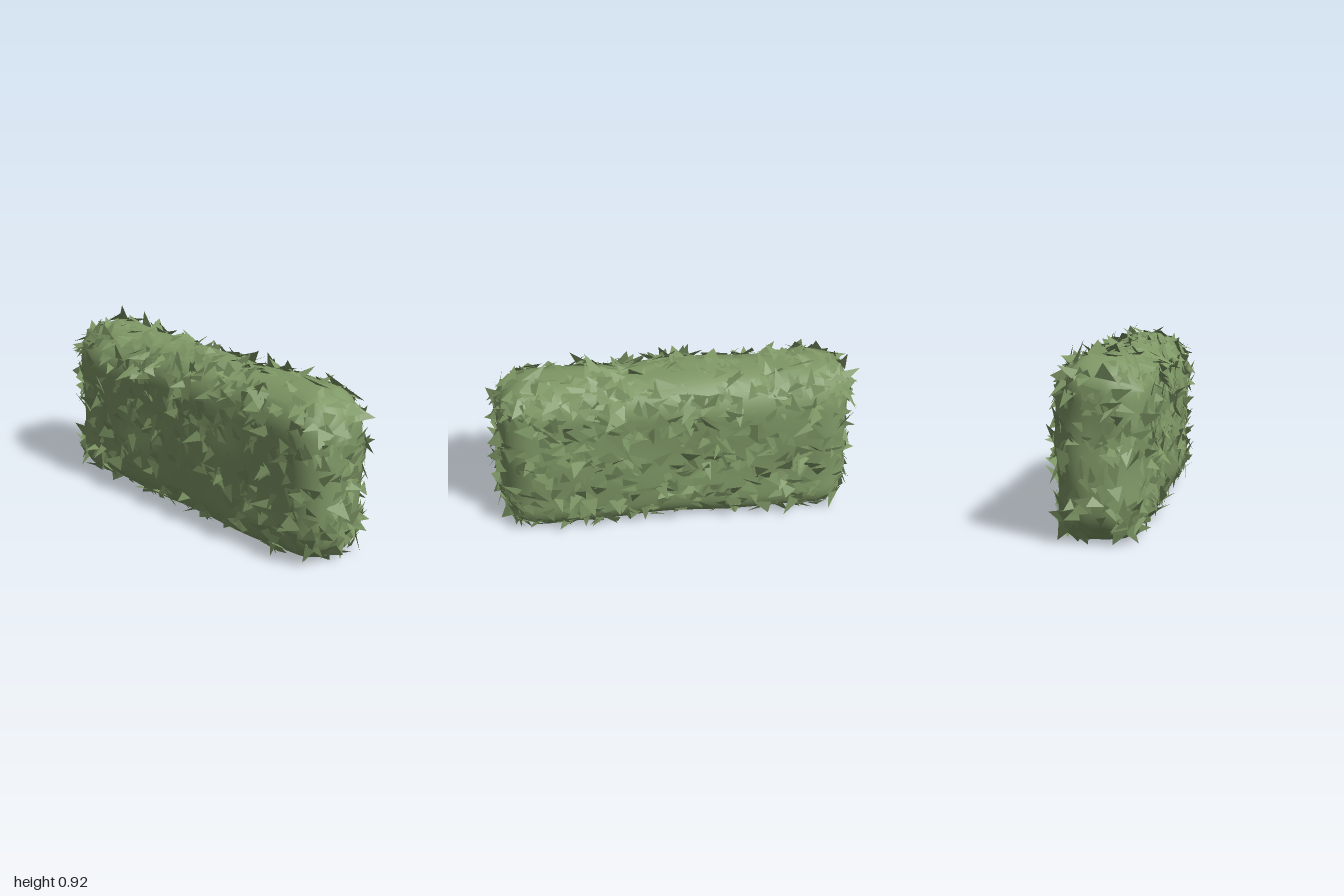
import * as THREE from 'three';
import { mergeVertices } from 'three/addons/utils/BufferGeometryUtils.js';

const HALF = new THREE.Vector3(0.905, 0.433, 0.213);
const CENTRE_Y = 0.413;
const RADIUS = 0.18;
const FLOOR = 0.018;

// Small seeded random generator
let seed = 7;
function random(min = 0, max = 1) {
  seed = (seed * 1664525 + 1013904223) % 4294967296;
  return min + (max - min) * (seed / 4294967296);
}

// Rounds a point of the plain box, adds gentle waves and trims it at the ground
function hedgeSurface(p) {
  const inner = HALF.clone().subScalar(RADIUS);
  const q = p.clone().clamp(inner.clone().negate(), inner);
  const normal = p.clone().sub(q).normalize();
  const wave = 0.005 * (Math.sin(p.x * 9 + p.y * 5) + Math.sin(p.y * 13 - p.x * 4 + p.z * 11));
  const point = q.addScaledVector(normal, RADIUS + wave);
  point.y = Math.max(point.y + CENTRE_Y, FLOOR + wave * 0.5);
  return { point, normal };
}

// Solid clipped body
function makeBody() {
  let geo = new THREE.BoxGeometry(HALF.x * 2, HALF.y * 2, HALF.z * 2, 46, 26, 18);
  const pos = geo.attributes.position;
  const p = new THREE.Vector3();
  for (let i = 0; i < pos.count; i++) {
    const { point } = hedgeSurface(p.fromBufferAttribute(pos, i));
    pos.setXYZ(i, point.x, point.y, point.z);
  }
  geo.deleteAttribute('uv');
  geo.deleteAttribute('normal');
  geo = mergeVertices(geo, 1e-4);
  geo.computeVertexNormals();
  return geo;
}

// Random point on the front, back, top or ends of the plain box
function randomBoxPoint() {
  const p = new THREE.Vector3(random(-1, 1), random(-1, 1), random(-1, 1)).multiply(HALF);
  const pick = random();
  const side = random() < 0.5 ? -1 : 1;
  if (pick < 0.66) p.z = side * HALF.z;
  else if (pick < 0.83) p.y = HALF.y;
  else p.x = side * HALF.x;
  return p;
}

// Scattered leaves: long blades rooted just under the surface, some of them folded
function makeLeaves(count) {
  const corners = [];
  const add = (...points) => points.forEach((v) => corners.push(v.x, Math.max(v.y, 0.002), v.z));
  for (let i = 0; i < count; i++) {
    const { point, normal } = hedgeSurface(randomBoxPoint());
    if (point.y < FLOOR + 0.01) continue;
    const along = new THREE.Vector3(random(-1, 1), random(-1, 1), random(-1, 1)).cross(normal).normalize();
    const across = normal.clone().cross(along);
    const at = (a, b, n) => point.clone()
      .addScaledVector(along, a).addScaledVector(across, b).addScaledVector(normal, n);
    const length = random(0.07, 0.14);
    const width = random(0.022, 0.05);
    const lift = 0.008 + 0.052 * random() ** 1.8;
    const left = at(random(-0.02, 0.02), -width, random(-0.012, 0.008));
    const right = at(random(-0.02, 0.02), width, random(-0.012, 0.016));
    const tip = at(length * 0.75, random(-0.035, 0.035), lift);
    add(left, right, tip);
    if (random() < 0.45) add(right, left, at(-length * 0.45, random(-0.02, 0.02), random(-0.012, 0.014)));
  }
  const geo = new THREE.BufferGeometry();
  geo.setAttribute('position', new THREE.Float32BufferAttribute(corners, 3));
  geo.computeVertexNormals();
  return geo;
}

export function createModel() {
  seed = 7;
  const foliage = new THREE.MeshStandardMaterial({ color: 0x7f9866, side: THREE.DoubleSide });
  foliage.name = 'foliage green';

  const group = new THREE.Group();
  group.name = 'hedge';

  const body = new THREE.Mesh(makeBody(), foliage);
  body.name = 'hedgeBody';
  const leaves = new THREE.Mesh(makeLeaves(1050), foliage);
  leaves.name = 'leaves';
  group.add(body, leaves);
  return group;
}
